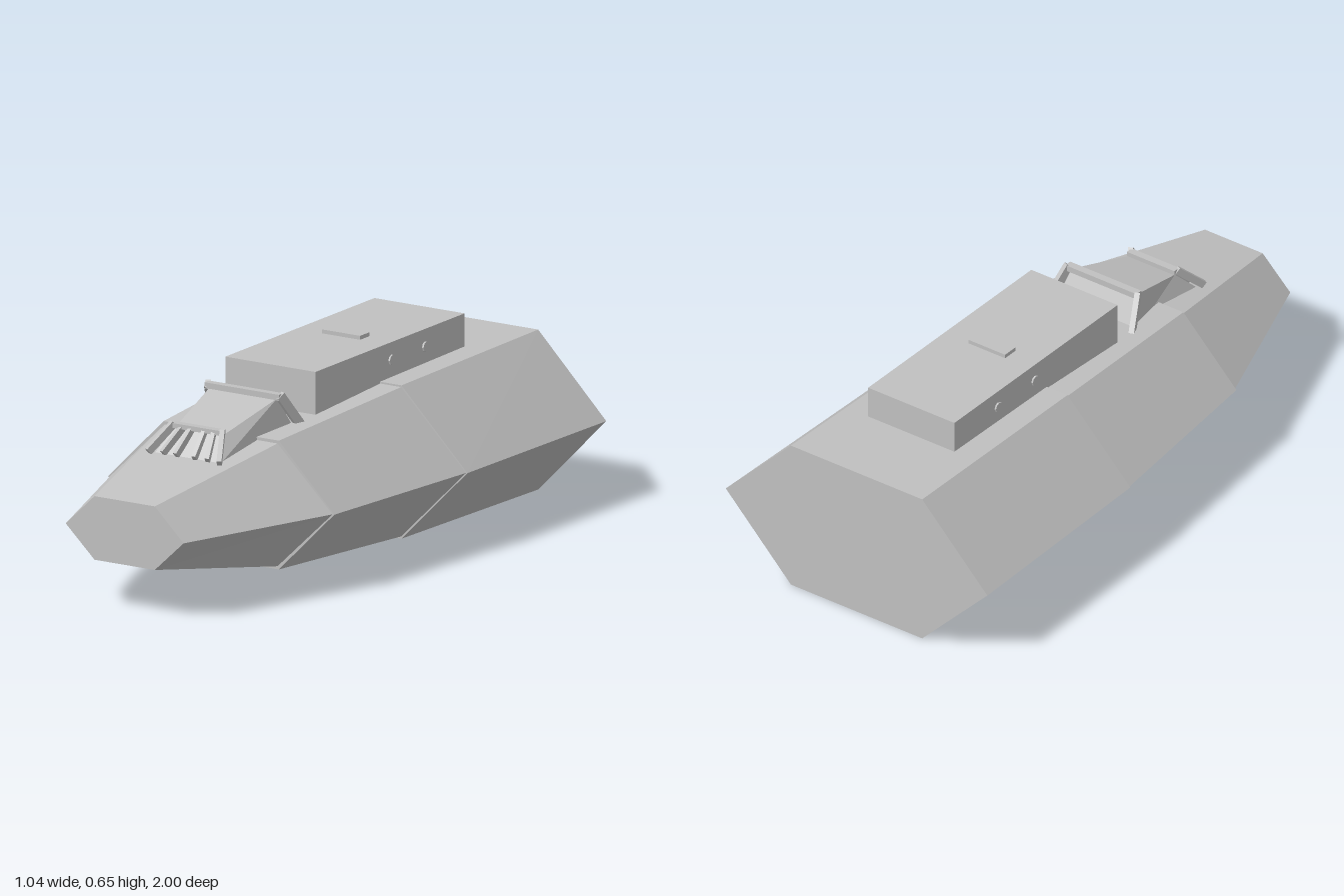
import * as THREE from 'three';

const hullGrey = new THREE.MeshStandardMaterial({ color: 0xc0c0c0, flatShading: true });
hullGrey.name = 'hull grey';

// Solid between two cross-sections, front then back, corners counter-clockwise seen from +z
function loft(name, front, back) {
  const pos = [];
  const tri = (a, b, c) => pos.push(...a, ...b, ...c);
  const n = front.length;
  for (let i = 0; i < n; i++) {
    const j = (i + 1) % n;
    tri(front[i], back[i], back[j]);
    tri(front[i], back[j], front[j]);
  }
  for (let i = 1; i < n - 1; i++) {
    tri(front[0], front[i], front[i + 1]);
    tri(back[0], back[i + 1], back[i]);
  }
  const geo = new THREE.BufferGeometry();
  geo.setAttribute('position', new THREE.Float32BufferAttribute(pos, 3));
  geo.computeVertexNormals();
  return named(name, geo);
}

function named(name, geo) {
  const mesh = new THREE.Mesh(geo, hullGrey);
  mesh.name = name;
  return mesh;
}

// Hexagonal hull section
const hex = (z, half, flat, low, high) => {
  const mid = 0.264;
  return [[flat, low, z], [half, mid, z], [flat, high, z], [-flat, high, z], [-half, mid, z], [-flat, low, z]];
};

// Square bar running from a to b
function bar(name, a, b, width, depth) {
  const from = new THREE.Vector3(...a), to = new THREE.Vector3(...b);
  const mesh = named(name, new THREE.BoxGeometry(width, depth, from.distanceTo(to)));
  mesh.position.copy(from).add(to).multiplyScalar(0.5);
  mesh.lookAt(to);
  return mesh;
}

function box(name, w, h, d, x, y, z) {
  const mesh = named(name, new THREE.BoxGeometry(w, h, d));
  mesh.position.set(x, y, z);
  return mesh;
}

export function createModel() {
  const model = new THREE.Group();
  model.name = 'ship';

  // Hull in three tapering sections with small steps between them
  model.add(
    loft('noseHull', hex(1, 0.225, 0.115, 0.16, 0.37), hex(0.44, 0.425, 0.215, 0.062, 0.467)),
    loft('middleHull', hex(0.44, 0.432, 0.22, 0.052, 0.477), hex(-0.22, 0.5, 0.252, 0.018, 0.511)),
    loft('rearHull', hex(-0.22, 0.505, 0.254, 0.011, 0.517), hex(-1, 0.522, 0.262, 0, 0.528))
  );

  // Long deckhouse with roof hatch and round side ports
  model.add(
    box('deckhouse', 0.344, 0.145, 0.865, 0, 0.5605, -0.2775),
    box('roofHatch', 0.146, 0.014, 0.055, 0, 0.639, -0.282)
  );
  for (const side of [-1, 1]) {
    for (const z of [-0.48, -0.285]) {
      const port = named('sidePort', new THREE.CylinderGeometry(0.017, 0.017, 0.012, 8));
      port.rotation.z = Math.PI / 2;
      port.position.set(side * 0.172, 0.575, z);
      model.add(port);
    }
  }

  // Wedge-shaped bridge
  const bridge = new THREE.Group();
  bridge.name = 'bridge';
  bridge.add(loft('canopy',
    [[0.125, 0.425, 0.645], [0.092, 0.505, 0.565], [-0.092, 0.505, 0.565], [-0.125, 0.425, 0.645]],
    [[0.16, 0.45, 0.245], [0.128, 0.574, 0.31], [-0.128, 0.574, 0.31], [-0.16, 0.45, 0.245]]));

  // Frames around the rear and front windows
  bridge.add(
    bar('rearFrameTop', [-0.142, 0.58, 0.308], [0.142, 0.58, 0.308], 0.026, 0.02),
    bar('frontFrameTop', [-0.095, 0.514, 0.572], [0.095, 0.514, 0.572], 0.026, 0.016)
  );
  for (const side of [-1, 1]) {
    bridge.add(
      bar('rearFramePost', [side * 0.138, 0.585, 0.31], [side * 0.17, 0.47, 0.232], 0.018, 0.03),
      bar('frontFramePost', [side * 0.093, 0.518, 0.574], [side * 0.136, 0.438, 0.658], 0.016, 0.024)
    );
    // Window bars fanning outward towards the bottom
    for (const [top, bottom] of [[0.025, 0.035], [0.06, 0.085]]) {
      bridge.add(bar('windowBar', [side * top, 0.508, 0.574], [side * bottom, 0.438, 0.65], 0.014, 0.022));
    }
  }
  model.add(bridge);
  return model;
}
